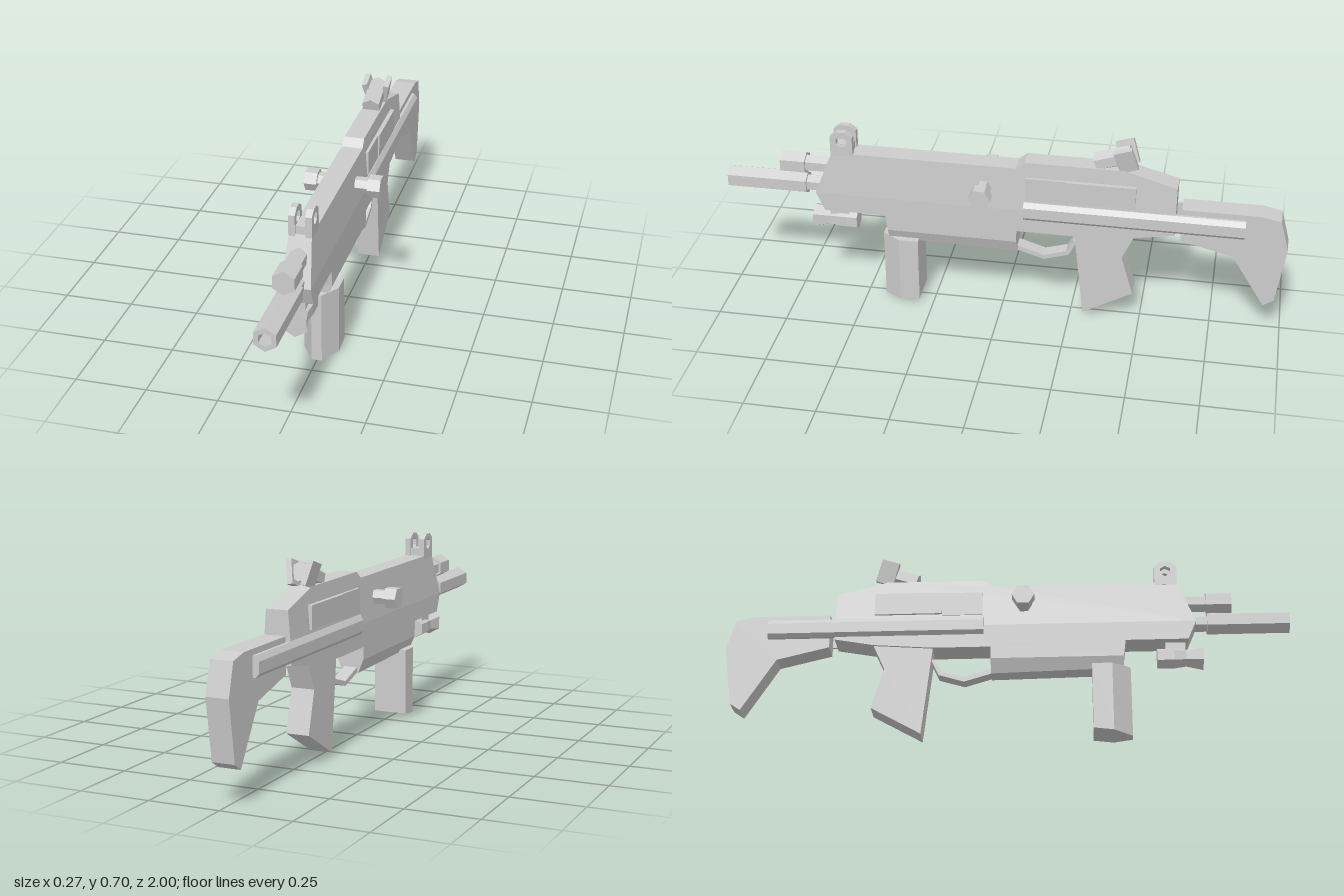
import * as THREE from 'three';

export function createModel() {
  const model = new THREE.Group();
  const grey = new THREE.MeshStandardMaterial({ color: 0xcccccc, flatShading: true, side: THREE.DoubleSide });

  const add = (name, geo, parent = model) => {
    const mesh = new THREE.Mesh(geo, grey);
    mesh.name = name;
    parent.add(mesh);
    return mesh;
  };
  const toShape = pts => new THREE.Shape(pts.map(([a, b]) => new THREE.Vector2(a, b)));

  // Side profile in (z, y), spread across x; halfWidth may vary with height
  const slab = (pts, halfWidth, hole) => {
    const shape = toShape(pts);
    if (hole) shape.holes.push(new THREE.Path(hole.map(([a, b]) => new THREE.Vector2(a, b))));
    const geo = new THREE.ExtrudeGeometry(shape, { depth: 2, bevelEnabled: false });
    geo.translate(0, 0, -1).rotateY(-Math.PI / 2);
    const p = geo.attributes.position;
    for (let i = 0; i < p.count; i++) {
      p.setX(i, p.getX(i) * (typeof halfWidth === 'function' ? halfWidth(p.getY(i)) : halfWidth));
    }
    geo.computeVertexNormals();
    return geo;
  };

  // Six-sided turned part along z from (radius, z) points
  const hexTurned = (pts, y) => {
    const geo = new THREE.LatheGeometry(pts.map(([r, z]) => new THREE.Vector2(r, z)), 6);
    return geo.rotateX(Math.PI / 2).translate(0, y, 0);
  };
  const box = (x0, x1, y0, y1, z0, z1) =>
    new THREE.BoxGeometry(Math.abs(x1 - x0), y1 - y0, z1 - z0)
      .translate((x0 + x1) / 2, (y0 + y1) / 2, (z0 + z1) / 2);

  // Receiver: straight lower part, tapered upper part, chamfered housing
  add('lowerReceiver', slab([[0.67, 0.42], [0.64, 0.35], [-0.055, 0.35], [-0.055, 0.335],
    [-0.26, 0.335], [-0.47, 0.35], [-0.61, 0.375], [-0.61, 0.42]], 0.05));
  add('upperReceiver', slab([[0.67, 0.42], [0.607, 0.58], [-0.05, 0.58], [-0.08, 0.605],
    [-0.43, 0.605], [-0.61, 0.555], [-0.61, 0.42]], y => 0.05 - (y - 0.42) * 0.078));
  add('housing', slab([[0.42, 0.35], [0.412, 0.29], [-0.055, 0.29], [-0.055, 0.35]], 0.05));
  add('housingChamfer', slab([[0.412, 0.29], [0.41, 0.25], [-0.055, 0.24], [-0.055, 0.29]],
    y => 0.05 - (0.29 - y) * 0.4));

  // Barrel with open muzzle, gas tube and front lamp
  add('barrel', hexTurned([[0, 0.55], [0.031, 0.55], [0.031, 0.71], [0.042, 0.71], [0.042, 1],
    [0.024, 1], [0.024, 0.9], [0, 0.9]], 0.43));
  add('gasTube', hexTurned([[0, 0.55], [0.032, 0.55], [0.032, 0.71], [0.042, 0.71], [0.042, 0.8], [0, 0.8]], 0.51));
  add('lamp', hexTurned([[0, 0.53], [0.038, 0.53], [0.038, 0.59], [0.032, 0.63], [0.047, 0.69], [0, 0.69]], 0.297));
  add('lampMount', box(-0.02, 0.02, 0.31, 0.36, 0.56, 0.63));

  // Magazine with wedge-shaped front and sloping base
  const mag = new THREE.ExtrudeGeometry(toShape([[-0.062, 0.3], [0.062, 0.3], [0.062, 0.37],
    [0.018, 0.435], [-0.018, 0.435], [-0.062, 0.37]]), { depth: 0.258, bevelEnabled: false });
  mag.rotateX(Math.PI / 2).translate(0, 0.258, 0);
  const mp = mag.attributes.position;
  for (let i = 0; i < mp.count; i++) {
    if (mp.getY(i) < 0.1) mp.setY(i, (0.435 - mp.getZ(i)) * 0.12);
  }
  mag.computeVertexNormals();
  add('magazine', mag);

  // Pistol grip, trigger guard and stock
  add('grip', slab([[-0.26, 0.34], [-0.297, 0.013], [-0.473, 0.112], [-0.43, 0.26], [-0.473, 0.355]], 0.042));
  add('triggerGuard', slab([[-0.05, 0.262], [-0.05, 0.243], [-0.15, 0.213], [-0.24, 0.24], [-0.268, 0.3],
    [-0.255, 0.3], [-0.23, 0.254], [-0.15, 0.23]], 0.025));
  add('stock', slab([[-0.63, 0.475], [-0.905, 0.475], [-0.97, 0.46], [-1, 0.35], [-0.97, 0.14],
    [-0.933, 0.115], [-0.815, 0.305], [-0.63, 0.35]], 0.04));

  // Paired side parts
  for (const s of [1, -1]) {
    const side = s > 0 ? 'left' : 'right';

    const rail = new THREE.ExtrudeGeometry(toShape([[s * 0.04, 0.385], [s * 0.05, 0.385], [s * 0.062, 0.398],
      [s * 0.062, 0.437], [s * 0.05, 0.455], [s * 0.04, 0.455]]), { depth: 0.77, bevelEnabled: false });
    add(side + 'Rail', rail.translate(0, 0, -0.85));

    add(side + 'RearPanel', box(s * 0.03, s * 0.055, 0.468, 0.55, -0.47, -0.23));
    add(side + 'FrontPanel', box(s * 0.03, s * 0.05, 0.462, 0.55, -0.23, -0.085));

    // Charging handle: thin stem and wider knob
    const stem = new THREE.CylinderGeometry(0.028, 0.028, 0.06, 6).rotateY(0);
    add(side + 'HandleStem', stem.rotateZ(Math.PI / 2).translate(s * 0.065, 0.497, 0.063));
    const knob = new THREE.CylinderGeometry(0.04, 0.04, 0.045, 6);
    add(side + 'HandleKnob', knob.rotateZ(Math.PI / 2).translate(s * 0.1125, 0.497, 0.063));

    // Front sight ear with hexagonal window
    const hole = [];
    for (let i = 0; i < 6; i++) {
      hole.push([0.57 + 0.021 * Math.sin(i * Math.PI / 3), 0.625 + 0.021 * Math.cos(i * Math.PI / 3)]);
    }
    const ear = slab([[0.61, 0.57], [0.61, 0.645], [0.585, 0.663], [0.555, 0.663], [0.53, 0.645], [0.53, 0.57]],
      0.011, hole);
    add(side + 'FrontSightEar', ear.translate(s * 0.028, 0, 0));
  }
  add('frontSightBase', box(-0.02, 0.02, 0.57, 0.608, 0.535, 0.605));

  // Rear sight: tilted hexagonal tube between two splayed ears
  const sight = new THREE.Group();
  sight.name = 'rearSight';
  sight.position.set(0, 0.637, -0.39);
  sight.rotation.x = 0.31;
  model.add(sight);
  add('sightTube', hexTurned([[0, -0.06], [0.035, -0.06], [0.035, 0.07], [0, 0.07]], 0), sight);
  for (const s of [1, -1]) {
    const ear = add('rearSightEar', new THREE.BoxGeometry(0.02, 0.085, 0.065), sight);
    ear.position.set(s * 0.032, -0.004, -0.04);
    ear.rotation.z = -s * 0.2;
  }
  return model;
}
